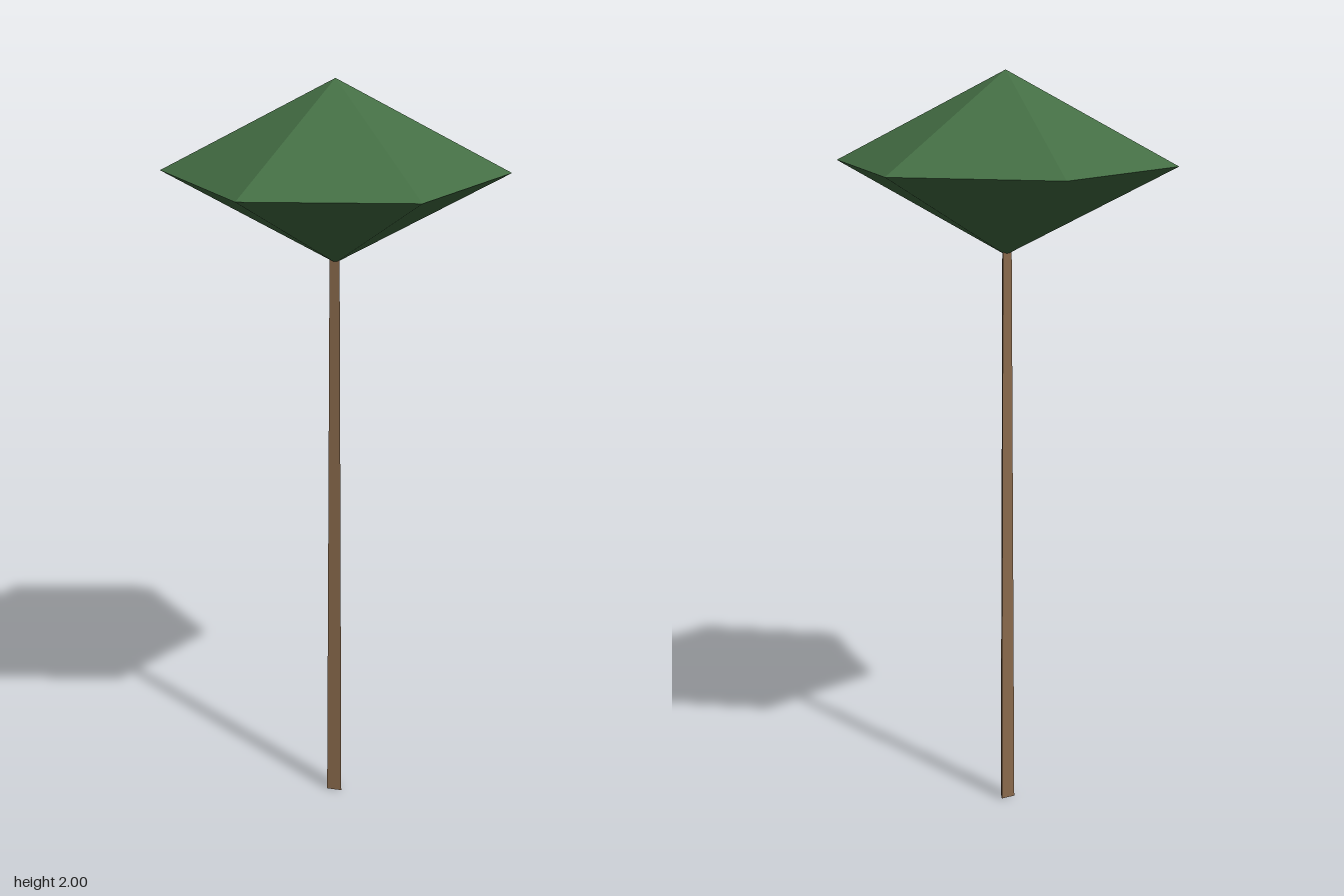
import * as THREE from 'three';

export function createModel() {
  const model = new THREE.Group();
  model.name = 'tree';

  const bark = new THREE.MeshStandardMaterial({ name: 'bark brown', color: 0x8a6a4c, flatShading: true });
  const leaves = new THREE.MeshStandardMaterial({ name: 'leaf green', color: 0x446e44, flatShading: true });

  // Thin, slightly tapered three-sided trunk, with its top hidden in the crown
  const trunkHeight = 1.53;
  const trunk = new THREE.Mesh(
    new THREE.CylinderGeometry(0.016, 0.024, trunkHeight, 3, 1, false, Math.PI / 4),
    bark
  );
  trunk.name = 'trunk';
  trunk.position.y = trunkHeight / 2;
  model.add(trunk);

  // Six-sided double-pyramid crown, with corners on the x axis
  const profile = [[0, 1.515], [0.457, 1.757], [0, 2]].map(([r, y]) => new THREE.Vector2(r, y));
  const crown = new THREE.Mesh(new THREE.LatheGeometry(profile, 6, Math.PI / 2), leaves);
  crown.name = 'crown';
  model.add(crown);

  return model;
}
